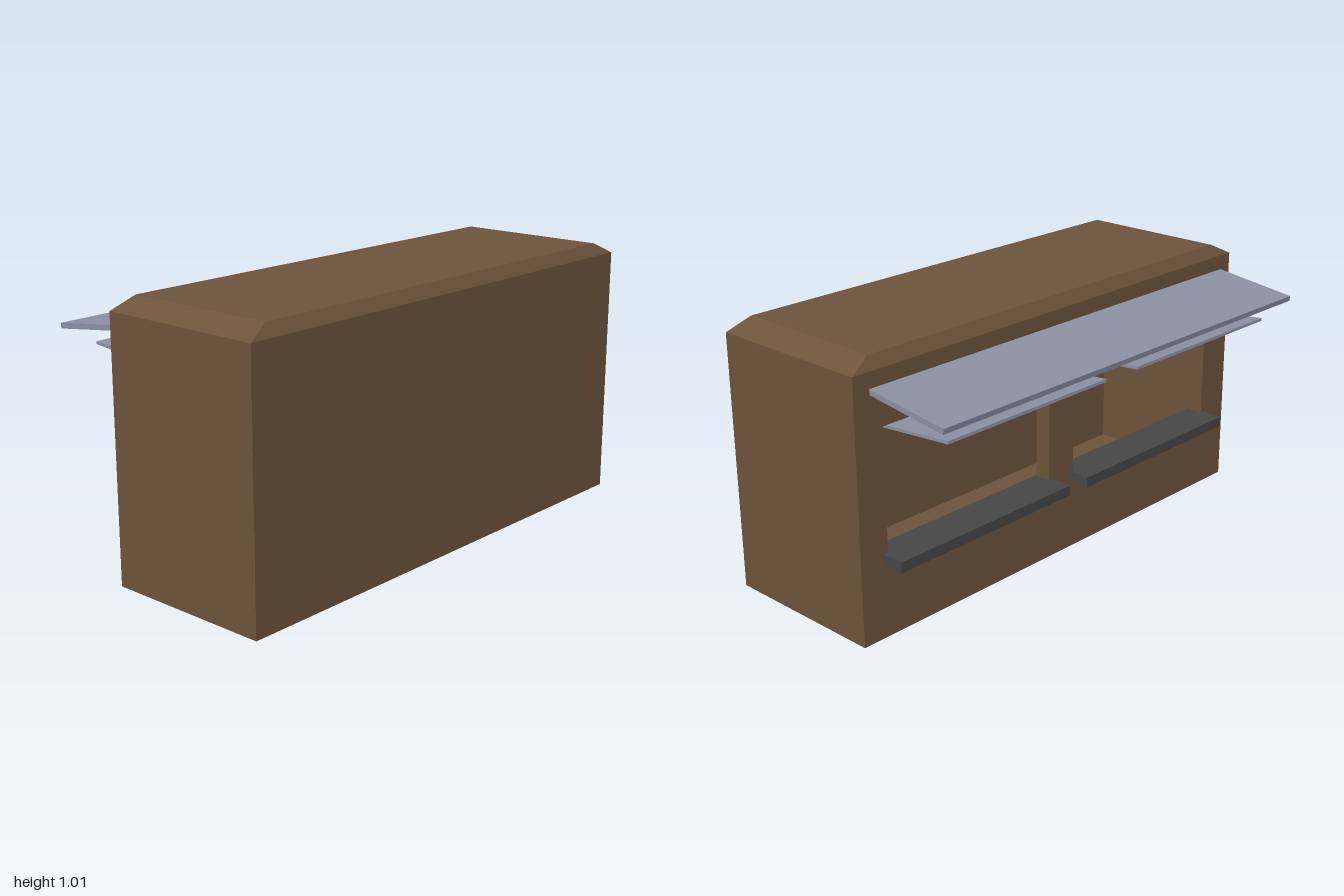
import * as THREE from 'three';

export function createModel() {
  const group = new THREE.Group();
  const mat = (name, color) => {
    const m = new THREE.MeshStandardMaterial({ color });
    m.name = name;
    return m;
  };
  const brown = mat('brown panel', 0x6d543c);
  const steel = mat('grey blue awning', 0x8c91a4);
  const dark = mat('dark counter', 0x464646);

  const add = (name, geometry, material) => {
    const mesh = new THREE.Mesh(geometry, material);
    mesh.name = name;
    group.add(mesh);
    return mesh;
  };
  // box given by its limits on each axis
  const box = (name, [x0, x1], [y0, y1], [z0, z1], material) =>
    add(name, new THREE.BoxGeometry(x1 - x0, y1 - y0, z1 - z0), material)
      .position.set((x0 + x1) / 2, (y0 + y1) / 2, (z0 + z1) / 2);

  const X0 = -0.16, X1 = 0.495, H = 0.97, WALL = 0.05, FRONT = 0.064, FLOOR = 0.02;
  const windows = [-0.481, 0.453];
  const inner = [X0 + FRONT, X1 - WALL];

  // hollow hut: floor, end walls, closed long wall
  box('floor', inner, [0, FLOOR], [-1 + WALL, 1 - WALL], brown);
  box('frontEndWall', [X0 + FRONT, X1], [0, H], [1 - WALL, 1], brown);
  box('backEndWall', [X0 + FRONT, X1], [0, H], [-1, -1 + WALL], brown);
  box('closedWall', [X1 - WALL, X1], [0, H], [-1 + WALL, 1 - WALL], brown);

  // serving wall with two window openings
  const rect = (P, a, b, y0, y1) => {
    const p = new P();
    p.moveTo(a, y0).lineTo(b, y0).lineTo(b, y1).lineTo(a, y1).closePath();
    return p;
  };
  const wall = rect(THREE.Shape, -1, 1, 0, H);
  for (const z of windows) wall.holes.push(rect(THREE.Path, z - 0.4, z + 0.4, 0.295, 0.77));
  const wallGeo = new THREE.ExtrudeGeometry(wall, { depth: FRONT, bevelEnabled: false });
  wallGeo.rotateY(-Math.PI / 2);
  wallGeo.translate(X0 + FRONT, 0, 0);
  add('servingWall', wallGeo, brown);

  // roof slab, its top corners drawn inwards
  const roof = new THREE.BoxGeometry(X1 - X0, 0.045, 2);
  const pos = roof.attributes.position;
  for (let i = 0; i < pos.count; i++) {
    if (pos.getY(i) > 0) {
      pos.setX(i, Math.sign(pos.getX(i)) * 0.3);
      pos.setZ(i, Math.sign(pos.getZ(i)) * 0.91);
    }
  }
  roof.computeVertexNormals();
  add('roof', roof, brown).position.set((X0 + X1) / 2, H + 0.0225, 0);

  // tilted sheet whose mid-line runs between two points in x and y
  const sheet = (name, xa, ya, xb, yb, thick, z, length) => {
    const m = add(name, new THREE.BoxGeometry(Math.hypot(xb - xa, yb - ya), thick, length), steel);
    m.position.set((xa + xb) / 2, (ya + yb) / 2, z);
    m.rotation.z = Math.atan2(yb - ya, xb - xa);
  };
  sheet('awning', -0.496, 0.859, X0 + 0.03, 0.906, 0.02, 0.006, 1.876);

  // hinged flap and counter at each window
  for (const z of windows) {
    sheet('windowFlap', -0.443, 0.787, X0 + 0.03, 0.76, 0.011, z, 0.764);
    box('counter', [-0.247, X0 + FRONT + 0.005], [0.275, 0.315], [z - 0.42, z + 0.42], dark);
  }
  return group;
}
